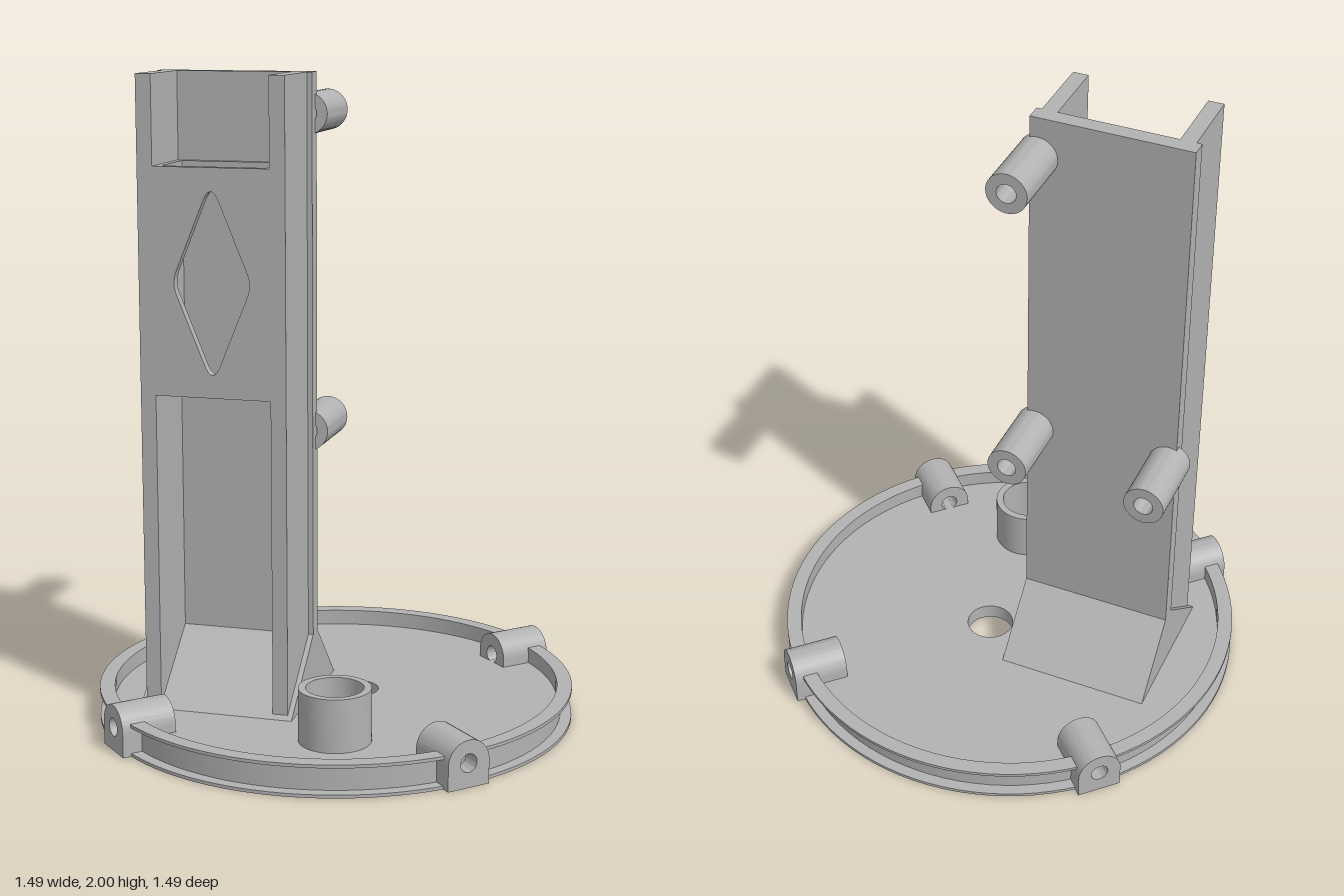
import * as THREE from 'three';
import { toCreasedNormals } from 'three/addons/utils/BufferGeometryUtils.js';

const FLOOR = 0.05;

export function createModel() {
  const grey = new THREE.MeshStandardMaterial({ color: 0xb2b2b2 });
  grey.name = 'plain grey';

  const model = new THREE.Group();
  model.name = 'standWithTower';

  const add = (parent, name, geometry) => {
    const mesh = new THREE.Mesh(geometry, grey);
    mesh.name = name;
    parent.add(mesh);
    return mesh;
  };
  const polygon = (pts) => new THREE.Shape(pts.map(([x, y]) => new THREE.Vector2(x, y)));
  const circle = (x, y, r, Type = THREE.Path) => new Type().absarc(x, y, r, 0, Math.PI * 2, false);
  const extrude = (shape, depth, curveSegments = 24) =>
    toCreasedNormals(
      new THREE.ExtrudeGeometry(shape, { depth, bevelEnabled: false, curveSegments }), 0.6);
  // Plan outline (x, -z) raised from y0 to y1
  const raise = (shape, y0, y1, segments) =>
    extrude(shape, y1 - y0, segments).rotateX(-Math.PI / 2).translate(0, y0, 0);
  // Round tube lying along z
  const ring = (r, bore) => {
    const s = circle(0, 0, r, THREE.Shape);
    s.holes.push(circle(0, 0, bore));
    return s;
  };

  // Base floor with its off-centre hole
  const floor = circle(0, 0, 0.702, THREE.Shape);
  floor.holes.push(circle(0.035, 0.06, 0.075));
  add(model, 'baseFloor', raise(floor, 0, FLOOR, 48));

  // Grooved rim around the floor
  const rim = [[0.7, 0], [0.745, 0], [0.745, 0.01], [0.71, 0.01], [0.71, 0.09],
    [0.745, 0.09], [0.745, 0.1], [0.698, 0.1], [0.698, FLOOR - 0.01]];
  add(model, 'baseRim', toCreasedNormals(
    new THREE.LatheGeometry(rim.map(([x, y]) => new THREE.Vector2(x, y)), 96), 0.6));

  // Four arched screw lugs set radially on the rim
  const arch = new THREE.Shape();
  arch.moveTo(-0.07, 0);
  arch.lineTo(0.07, 0);
  arch.lineTo(0.07, 0.075);
  arch.absarc(0, 0.075, 0.07, 0, Math.PI, false);
  arch.lineTo(-0.07, 0);
  arch.holes.push(circle(0, 0.075, 0.028));
  const lugGeometry = extrude(arch, 0.173).translate(0, 0, 0.595);
  for (const degrees of [150, 60, -30, -120]) {
    add(model, 'rimLug', lugGeometry).rotation.y = THREE.MathUtils.degToRad(degrees);
  }

  // Round cup on the floor
  add(model, 'cup', raise(ring(0.11, 0.087), FLOOR - 0.01, 0.215)).position.set(0.21, 0, 0.365);

  // Tower, turned on the base
  const tower = new THREE.Group();
  tower.name = 'tower';
  tower.position.set(-0.26, 0, 0.2125);
  tower.rotation.y = THREE.MathUtils.degToRad(15);
  model.add(tower);

  // Channel: wide back plate and two slightly inset side walls, open to the front
  const half = [[0.245, 0.14], [0.245, 0.09], [0.229, 0.09], [0.229, -0.14], [0.181, -0.14], [0.181, 0.09]];
  const mirrored = half.map(([x, y]) => [-x, y]).reverse();
  add(tower, 'channel', raise(polygon([...half, ...mirrored]), FLOOR - 0.01, 2));

  // Sloped foot in front of and behind the back plate
  const foot = polygon([[-0.335, FLOOR], [0.155, FLOOR], [-0.09, 0.25], [-0.14, 0.25]]);
  add(tower, 'slopedFoot', extrude(foot, 0.49).rotateY(-Math.PI / 2).translate(0.245, 0, 0));

  // Holder box between the walls: liner, floor with drain hole, front plate
  const y0 = 1.04, y1 = 1.73;
  const liner = polygon([[-0.181, -0.11], [-0.161, -0.11], [-0.161, 0.07], [0.161, 0.07],
    [0.161, -0.11], [0.181, -0.11], [0.181, 0.09], [-0.181, 0.09]]);
  add(tower, 'holderLiner', raise(liner, y0, y1));
  const tray = polygon([[-0.161, -0.11], [0.161, -0.11], [0.161, 0.07], [-0.161, 0.07]]);
  tray.holes.push(circle(0, -0.02, 0.042));
  add(tower, 'holderFloor', raise(tray, y0, y0 + 0.03));

  // Front plate with a round-cornered diamond window
  const plate = polygon([[-0.181, y0], [0.181, y0], [0.181, y1], [-0.181, y1]]);
  const tips = [[0.125, 0], [0, 0.305], [-0.125, 0], [0, -0.305]]
    .map(([x, y]) => new THREE.Vector2(x, y + 1.385));
  const diamond = new THREE.Path();
  tips.forEach((tip, i) => {
    const t = i % 2 ? 0.2 : 0.12;
    const a = tip.clone().lerp(tips[(i + 3) % 4], t);
    const b = tip.clone().lerp(tips[(i + 1) % 4], t);
    if (i === 0) diamond.moveTo(a.x, a.y);
    else diamond.lineTo(a.x, a.y);
    diamond.quadraticCurveTo(tip.x, tip.y, b.x, b.y);
  });
  diamond.closePath();
  plate.holes.push(diamond);
  add(tower, 'diamondPlate', extrude(plate, 0.03, 8).translate(0, 0, 0.11));

  // Hollow pegs sticking out of the back edges
  const pegGeometry = extrude(ring(0.063, 0.03), 0.235).translate(0, 0, -0.355);
  for (const [x, y] of [[0.221, 1.875], [0.221, 0.9], [-0.221, 0.9]]) {
    add(tower, 'backPeg', pegGeometry).position.set(x, y, 0);
  }

  return model;
}
